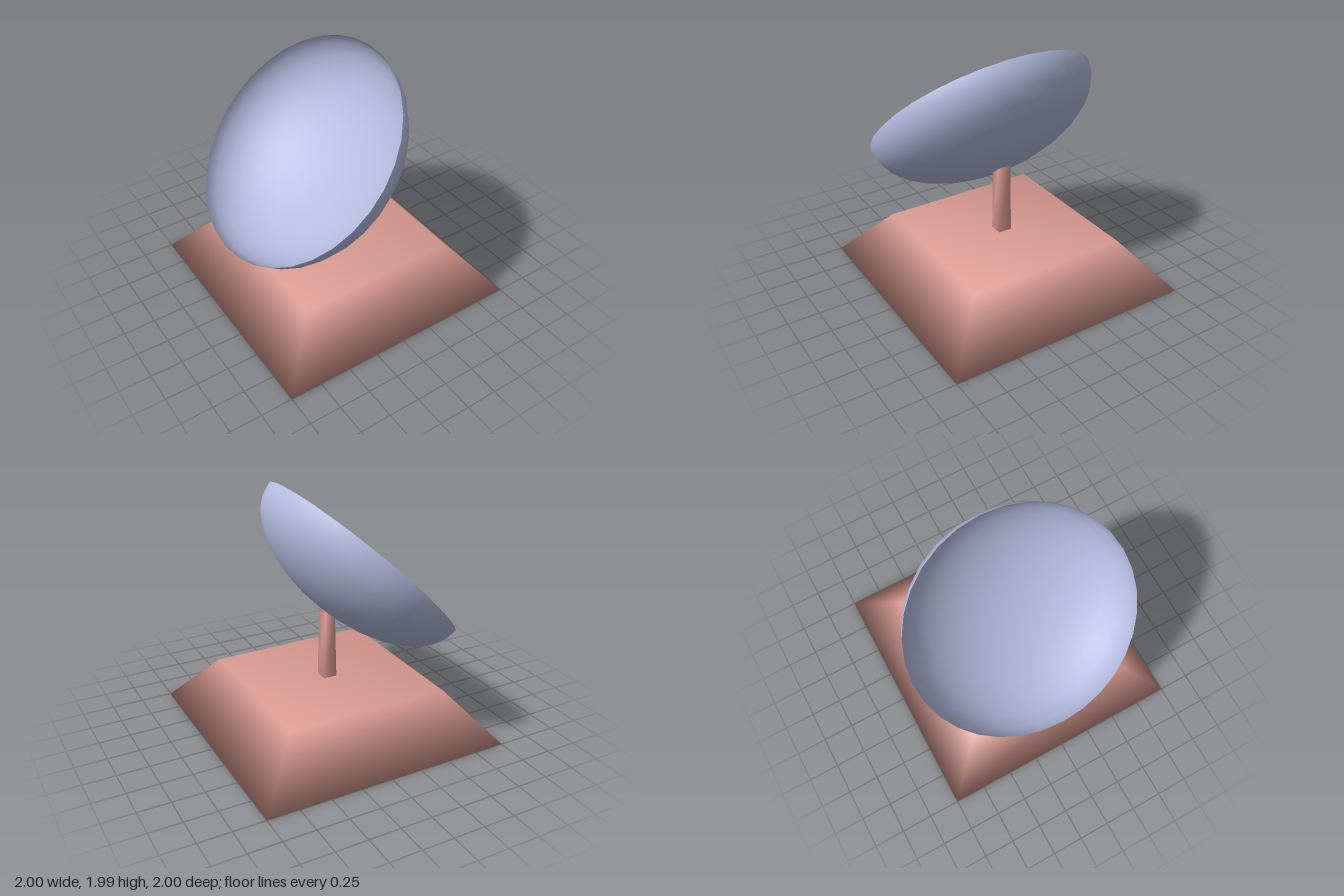
import * as THREE from 'three';
import { mergeVertices } from 'three/addons/utils/BufferGeometryUtils.js';

const clay = new THREE.MeshStandardMaterial({ color: 0xdc9d93 });
clay.name = 'clay';
const paleBlue = new THREE.MeshStandardMaterial({ color: 0xb4bbde, side: THREE.DoubleSide });
paleBlue.name = 'pale blue';

// Box whose corners are moved by a rule, with normals shared over the edges
function smoothBox(name, corner) {
  let geometry = new THREE.BoxGeometry(2, 2, 2);
  geometry.deleteAttribute('normal');
  geometry.deleteAttribute('uv');
  geometry = mergeVertices(geometry);
  const p = geometry.attributes.position;
  for (let i = 0; i < p.count; i++) {
    p.setXYZ(i, ...corner(p.getX(i), p.getY(i) > 0, p.getZ(i)));
  }
  geometry.computeVertexNormals();
  const mesh = new THREE.Mesh(geometry, clay);
  mesh.name = name;
  return mesh;
}

export function createModel() {
  const model = new THREE.Group();
  model.name = 'satelliteDish';

  // Sloped square base
  model.add(smoothBox('base', (x, top, z) =>
    top ? [x * 0.66, 0.4, z * 0.66] : [x, 0, z]));

  // Post narrowing in x, its slanted top following the bowl
  model.add(smoothBox('post', (x, top, z) =>
    top ? [x * 0.04, 0.935 + x * 0.035, z * 0.055] : [x * 0.055, 0.4, z * 0.055]));

  // Shallow bowl tilted up towards -x
  const bowl = new THREE.SphereGeometry(0.915, 32, 8, 0, Math.PI * 2, Math.PI / 2, Math.PI / 2);
  bowl.scale(1, 0.5 / 0.915, 1);
  const dish = new THREE.Mesh(bowl, paleBlue);
  dish.name = 'dish';
  dish.rotation.z = Math.PI / 4;
  dish.position.set(-0.3, 1.34, 0);
  model.add(dish);

  return model;
}
